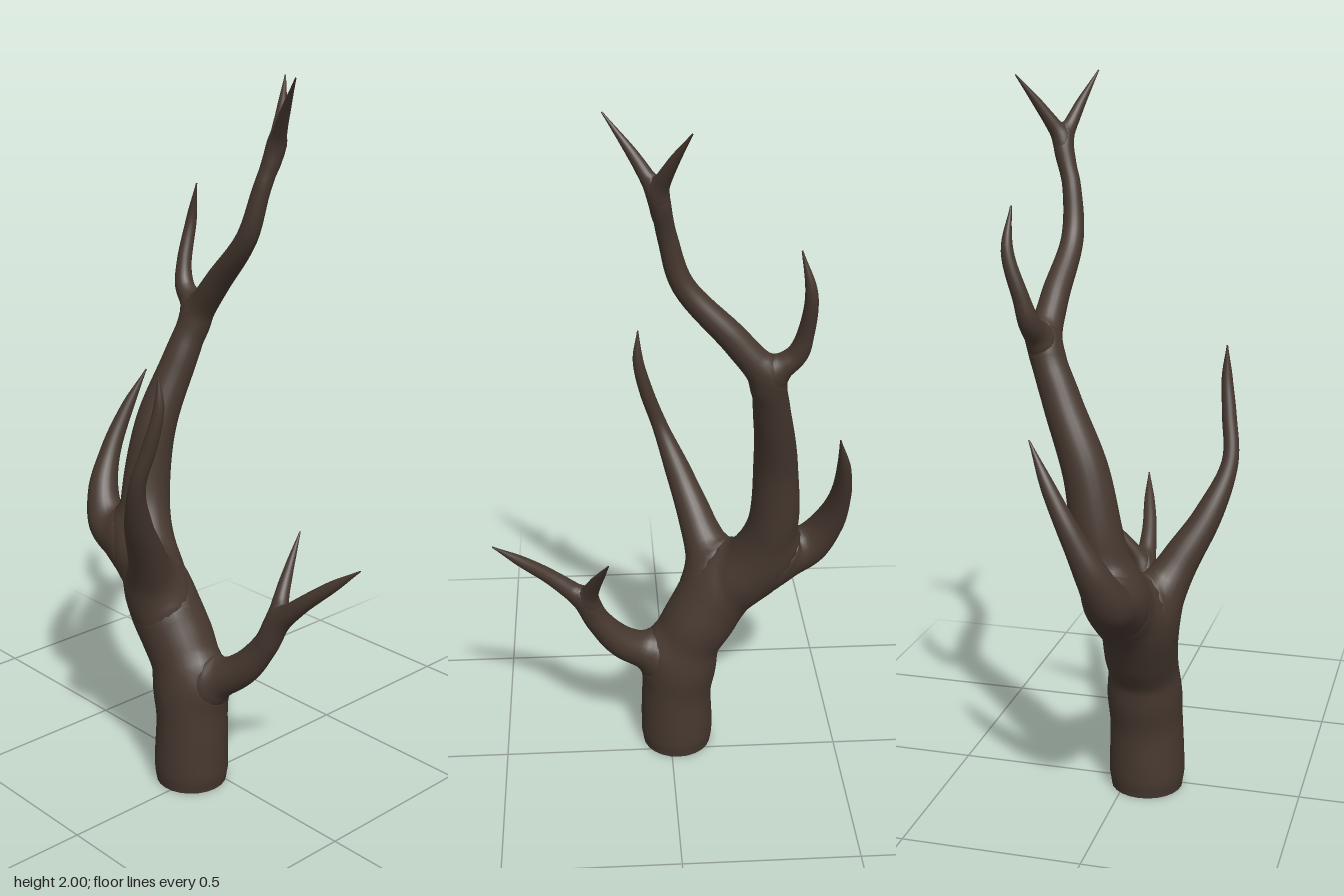
import * as THREE from 'three';

const SIDES = 24;
const STEPS = 8;

// Limbs as stations [x, y, z, radius]
const LIMBS = {
  // trunk sweeping back, up, then forward into the crown fork
  trunk: [
    [-0.06, 0, -0.02, 0.102], [-0.06, 0.05, -0.02, 0.108], [-0.057, 0.25, -0.022, 0.102],
    [-0.055, 0.4, -0.06, 0.098], [-0.055, 0.52, -0.14, 0.092], [-0.035, 0.64, -0.235, 0.085],
    [0, 0.78, -0.285, 0.072], [0.04, 1.0, -0.283, 0.061], [0.11, 1.18, -0.26, 0.051],
    [0.16, 1.32, -0.23, 0.043], [0.162, 1.42, -0.155, 0.038], [0.15, 1.57, -0.02, 0.03],
    [0.163, 1.7, 0.02, 0.025], [0.19, 1.81, 0.045, 0.023], [0.17, 1.89, 0.09, 0.016],
    [0.13, 2.0, 0.172, 0.002],
  ],
  crownTwig: [
    [0.182, 1.77, 0.038, 0.018], [0.2, 1.83, 0.04, 0.022], [0.24, 1.9, 0.015, 0.015],
    [0.298, 1.99, -0.03, 0.002],
  ],
  upperBackTwig: [
    [0.155, 1.29, -0.235, 0.03], [0.17, 1.345, -0.265, 0.033], [0.179, 1.39, -0.308, 0.028],
    [0.192, 1.45, -0.325, 0.022], [0.225, 1.57, -0.33, 0.016], [0.222, 1.68, -0.303, 0.002],
  ],
  rightBranch: [
    [-0.06, 0.44, -0.1, 0.07], [-0.1, 0.58, -0.125, 0.075], [-0.165, 0.71, -0.085, 0.053],
    [-0.232, 0.83, -0.038, 0.039], [-0.28, 0.97, 0.018, 0.023], [-0.268, 1.09, 0.058, 0.02],
    [-0.256, 1.19, 0.08, 0.015], [-0.255, 1.28, 0.08, 0.002],
  ],
  backBranch: [
    [-0.035, 0.6, -0.22, 0.06], [-0.045, 0.65, -0.31, 0.07], [-0.05, 0.685, -0.395, 0.06],
    [-0.028, 0.77, -0.448, 0.046], [0.02, 0.88, -0.47, 0.031], [0.08, 1.0, -0.465, 0.02],
    [0.14, 1.12, -0.44, 0.002],
  ],
  frontBranch: [
    [-0.052, 0.28, -0.04, 0.07], [-0.038, 0.337, 0.06, 0.056], [-0.012, 0.395, 0.145, 0.047],
    [0.007, 0.48, 0.21, 0.037], [0.017, 0.565, 0.255, 0.032], [0.02, 0.61, 0.3, 0.026],
    [0.028, 0.66, 0.355, 0.021], [0.045, 0.715, 0.42, 0.016], [0.066, 0.78, 0.5, 0.002],
  ],
  frontTwig: [
    [0.008, 0.5, 0.225, 0.02], [0.032, 0.585, 0.236, 0.025], [0.068, 0.645, 0.222, 0.019],
    [0.112, 0.7, 0.204, 0.012], [0.17, 0.77, 0.182, 0.002],
  ],
};

// Cross-sections along a limb: centre, radius and a frame carried without twist
function limbRings(stations) {
  const path = new THREE.CatmullRomCurve3(stations.map(([x, y, z]) => new THREE.Vector3(x, y, z)));
  const radius = new THREE.CatmullRomCurve3(
    stations.map((s) => new THREE.Vector3(s[3], 0, 0)), false, 'catmullrom', 0.4);
  const count = (stations.length - 1) * STEPS;
  const normal = new THREE.Vector3(1, 0, 0);
  return Array.from({ length: count + 1 }, (_, i) => {
    const t = i / count;
    const tangent = path.getTangent(t);
    normal.addScaledVector(tangent, -normal.dot(tangent)).normalize();
    return {
      centre: path.getPoint(t),
      r: radius.getPoint(t).x,
      normal: normal.clone(),
      side: new THREE.Vector3().crossVectors(tangent, normal),
    };
  });
}

// Swell a skin point outwards where another limb is close, so forks melt together
function fillet(point, outward, r, others) {
  let gap = Infinity;
  let nearest;
  for (const ring of others) {
    const d = point.distanceTo(ring.centre) - ring.r;
    if (d < gap) {
      gap = d;
      nearest = ring;
    }
  }
  const reach = Math.min(r, nearest.r);
  const h = THREE.MathUtils.clamp(1 - gap / reach, 0, 1);
  if (h === 0) return;
  const away = point.clone().sub(nearest.centre).normalize();
  const push = outward.clone().lerp(away, h / 2);
  const amount = (h * h * reach) / 4 / Math.max(push.length(), 0.5);
  point.addScaledVector(push.normalize(), amount);
}

function limbGeometry(rings, others) {
  const positions = [];
  const index = [];
  rings.forEach(({ centre, r, normal, side }, i) => {
    for (let j = 0; j < SIDES; j++) {
      const a = (j / SIDES) * Math.PI * 2;
      const outward = normal.clone().multiplyScalar(Math.cos(a)).addScaledVector(side, Math.sin(a));
      const p = centre.clone().addScaledVector(outward, r);
      fillet(p, outward, r, others);
      positions.push(p.x, p.y, p.z);
      if (i < rings.length - 1) {
        const k = (j + 1) % SIDES;
        const lo = i * SIDES;
        const hi = lo + SIDES;
        index.push(lo + j, lo + k, hi + j, lo + k, hi + k, hi + j);
      }
    }
  });
  const geometry = new THREE.BufferGeometry();
  geometry.setAttribute('position', new THREE.Float32BufferAttribute(positions, 3));
  geometry.setIndex(index);
  geometry.computeVertexNormals();
  return geometry;
}

export function createModel() {
  const model = new THREE.Group();
  model.name = 'bareTree';
  // double sided: the foot of the trunk is open
  const bark = new THREE.MeshStandardMaterial({ color: 0x46382f, side: THREE.DoubleSide });
  bark.name = 'dark bark';

  const limbs = Object.entries(LIMBS).map(([name, stations]) => ({ name, rings: limbRings(stations) }));
  for (const limb of limbs) {
    const others = limbs.filter((l) => l !== limb).flatMap((l) => l.rings);
    const mesh = new THREE.Mesh(limbGeometry(limb.rings, others), bark);
    mesh.name = limb.name;
    model.add(mesh);
  }
  return model;
}
